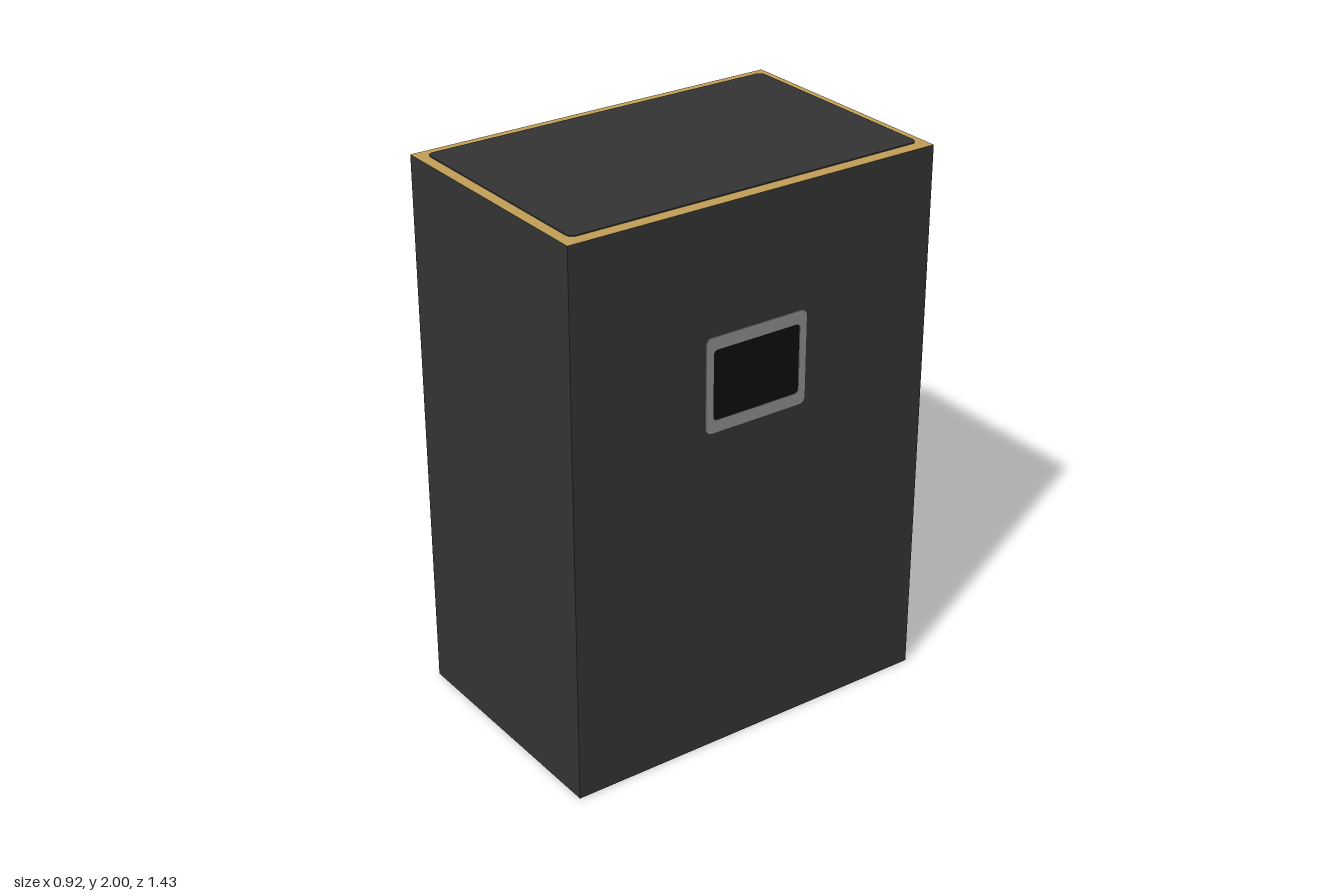
import * as THREE from 'three';

const mat = (name, color) => {
  const m = new THREE.MeshStandardMaterial({ color });
  m.name = name;
  return m;
};

// Thin rounded plate lying in XY, facing +z, optionally with a rounded opening
function roundedPath(path, w, h, r) {
  const x = w / 2, y = h / 2;
  path.absarc(x - r, y - r, r, 0, Math.PI / 2);
  path.absarc(-x + r, y - r, r, Math.PI / 2, Math.PI);
  path.absarc(-x + r, -y + r, r, Math.PI, Math.PI * 1.5);
  path.absarc(x - r, -y + r, r, Math.PI * 1.5, Math.PI * 2);
  path.closePath();
  return path;
}

function plate(name, material, w, h, r, hole) {
  const shape = roundedPath(new THREE.Shape(), w, h, r);
  if (hole) shape.holes.push(roundedPath(new THREE.Path(), hole.w, hole.h, hole.r));
  const geo = new THREE.ExtrudeGeometry(shape, { depth: 0.004, bevelEnabled: false, curveSegments: 6 });
  const mesh = new THREE.Mesh(geo, material);
  mesh.name = name;
  return mesh;
}

export function createModel() {
  const W = 0.916, H = 2, D = 1.424, T = 0.004;
  const charcoal = mat('charcoal', 0x343434);
  const wood = mat('wood', 0xc19f56);
  const grey = mat('grey', 0x8f8f8f);
  const black = mat('black', 0x0d0d0d);
  const model = new THREE.Group();
  model.name = 'cabinet';

  // Body: wood on the top and back, charcoal elsewhere
  const body = new THREE.Mesh(
    new THREE.BoxGeometry(W, H - T, D),
    [charcoal, charcoal, wood, charcoal, charcoal, wood]
  );
  body.name = 'body';
  body.position.y = (H - T) / 2;
  model.add(body);

  // Inset top panel
  const top = plate('topPanel', charcoal, 0.836, 1.356, 0.025);
  top.rotation.x = -Math.PI / 2;
  top.position.set(-0.006, H - T, -0.006);
  model.add(top);

  // Back panel with its slot handle
  const back = plate('backPanel', charcoal, 0.84, 1.91, 0.035);
  back.rotation.y = Math.PI;
  back.position.set(0, 1, -D / 2);
  model.add(back);
  const slot = plate('backSlot', wood, 0.32, 0.078, 0.03);
  slot.rotation.y = Math.PI;
  slot.position.set(0, 1.795, -D / 2 - 0.002);
  model.add(slot);

  // Framed hand holes on both sides
  for (const side of [1, -1]) {
    const handle = new THREE.Group();
    handle.name = side > 0 ? 'leftHandle' : 'rightHandle';
    handle.add(plate('handleFrame', grey, 0.405, 0.342, 0.025, { w: 0.345, h: 0.25, r: 0.015 }));
    const opening = plate('handleOpening', black, 0.347, 0.252, 0.015);
    opening.position.z = -0.002;
    handle.add(opening);
    handle.rotation.y = side * Math.PI / 2;
    handle.position.set(side * W / 2, 1.38, 0.002);
    model.add(handle);
  }
  return model;
}
